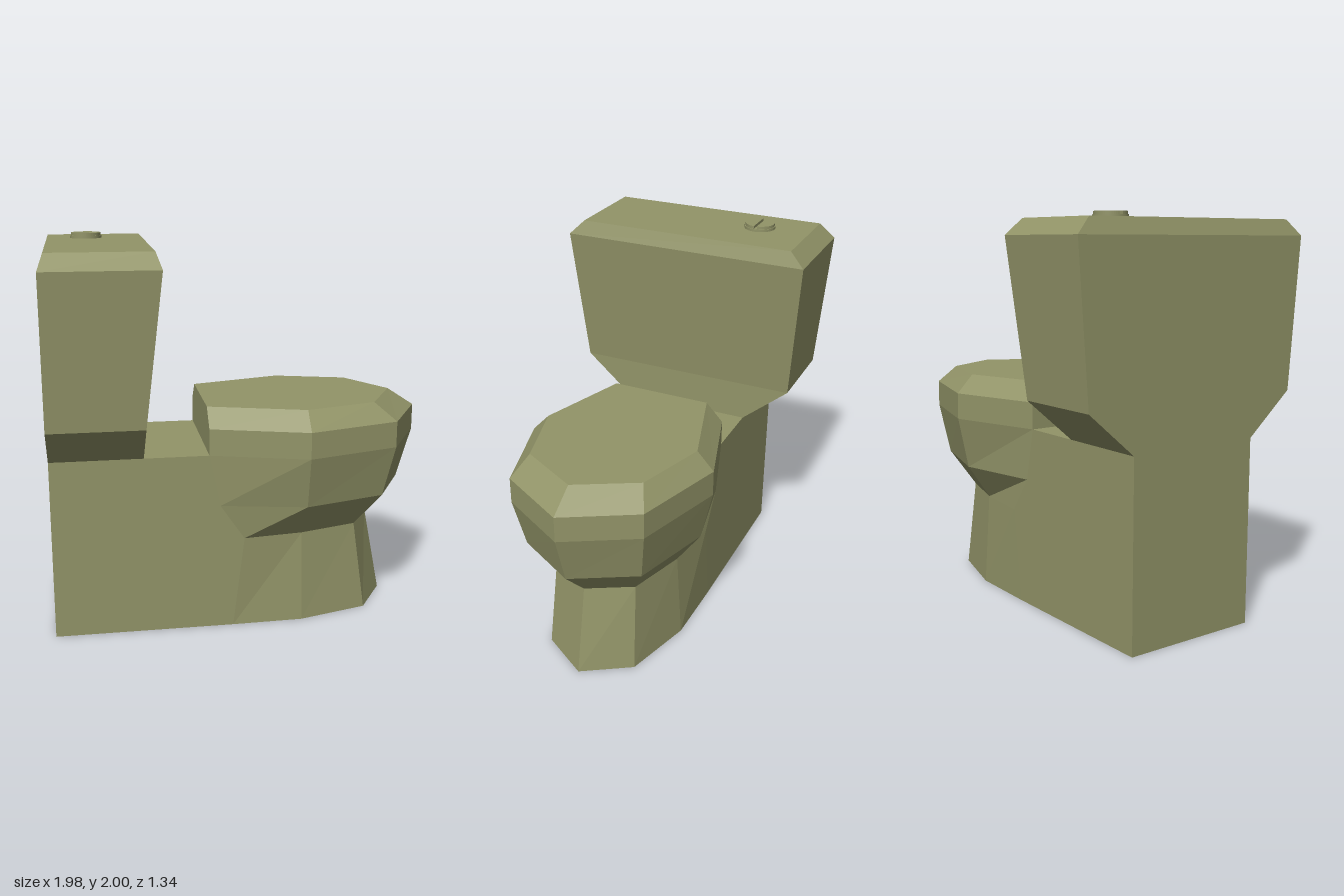
import * as THREE from 'three';

// Skin stacked, z-mirrored cross-sections. Each level is { y, p: [[x, halfWidth], ...] } from back to front.
function loft(levels) {
  const pos = [];
  const tri = (a, b, c) => {
    const area = new THREE.Triangle(a, b, c).getArea();
    if (area > 1e-7) for (const v of [a, b, c]) pos.push(v.x, v.y, v.z);
  };
  const quad = (a, b, c, d) => { tri(a, b, c); tri(a, c, d); };
  const rings = levels.map(({ y, p }) => [
    ...p.map(([x, z]) => new THREE.Vector3(x, y, z)),
    ...p.slice().reverse().map(([x, z]) => new THREE.Vector3(x, y, -z)),
  ]);
  const n = rings[0].length;
  // Walls
  for (let k = 0; k + 1 < rings.length; k++) {
    const lo = rings[k], hi = rings[k + 1];
    for (let i = 0; i < n; i++) {
      const j = (i + 1) % n;
      quad(lo[i], lo[j], hi[j], hi[i]);
    }
  }
  // Caps, as strips across the mirror plane
  const bottom = rings[0], top = rings[rings.length - 1];
  for (let i = 0; i + 1 < n / 2; i++) {
    quad(top[i], top[i + 1], top[n - 2 - i], top[n - 1 - i]);
    quad(bottom[n - 1 - i], bottom[n - 2 - i], bottom[i + 1], bottom[i]);
  }
  const g = new THREE.BufferGeometry();
  g.setAttribute('position', new THREE.Float32BufferAttribute(pos, 3));
  g.computeVertexNormals();
  return g;
}

export function createModel() {
  const model = new THREE.Group();
  const olive = new THREE.MeshStandardMaterial({ color: 0x929468 });
  olive.name = 'olive ceramic';
  const add = (name, geometry, parent = model) => {
    const mesh = new THREE.Mesh(geometry, olive);
    mesh.name = name;
    parent.add(mesh);
    return mesh;
  };

  // Pedestal block flowing forward into the foot and bowl
  const back = [-0.99, 0.362];
  const rim = [[-0.19, 0.362], [0.3, 0.512], [0.785, 0.362], [0.987, 0]];
  add('pedestalAndBowl', loft([
    { y: 0, p: [back, [-0.07, 0.362], [0.3, 0.355], [0.67, 0.25], [0.825, 0]] },
    { y: 0.48, p: [back, [-0.01, 0.362], [0.3, 0.325], [0.607, 0.23], [0.732, 0]] },
    { y: 0.663, p: [back, [-0.135, 0.362], [0.3, 0.453], [0.73, 0.323], [0.907, 0]] },
    { y: 0.933, p: [back, ...rim] },
  ]));

  // Closed lid with a bevelled top
  add('lid', loft([
    { y: 0.933, p: rim },
    { y: 1.07, p: rim },
    { y: 1.165, p: [[-0.19, 0.27], [0.3, 0.422], [0.675, 0.308], [0.842, 0]] },
  ]));

  // Tapered cistern with a bevelled top
  add('tank', loft([
    { y: 0.933, p: [[-0.99, 0.362], [-0.52, 0.362]] },
    { y: 1.145, p: [[-0.99, 0.612], [-0.52, 0.612]] },
    { y: 1.895, p: [[-0.99, 0.671], [-0.434, 0.671]] },
    { y: 1.972, p: [[-0.962, 0.592], [-0.46, 0.592]] },
  ]));

  // Flush button split by a slot
  const button = new THREE.Group();
  button.name = 'flushButton';
  button.position.set(-0.757, 1.965, -0.32);
  model.add(button);
  const r = 0.083, gap = 0.009, a = Math.asin(gap / r);
  add('buttonBase', new THREE.CylinderGeometry(r, r, 0.02, 24).translate(0, 0.01, 0), button);
  for (const turn of [0, Math.PI]) {
    const half = new THREE.Shape();
    half.absarc(0, 0, r - 0.005, a, Math.PI - a, false);
    half.closePath();
    const g = new THREE.ExtrudeGeometry(half, { depth: 0.015, bevelEnabled: false, curveSegments: 12 });
    g.rotateX(-Math.PI / 2).rotateY(turn).translate(0, 0.02, 0);
    add('buttonHalf', g, button);
  }
  return model;
}
